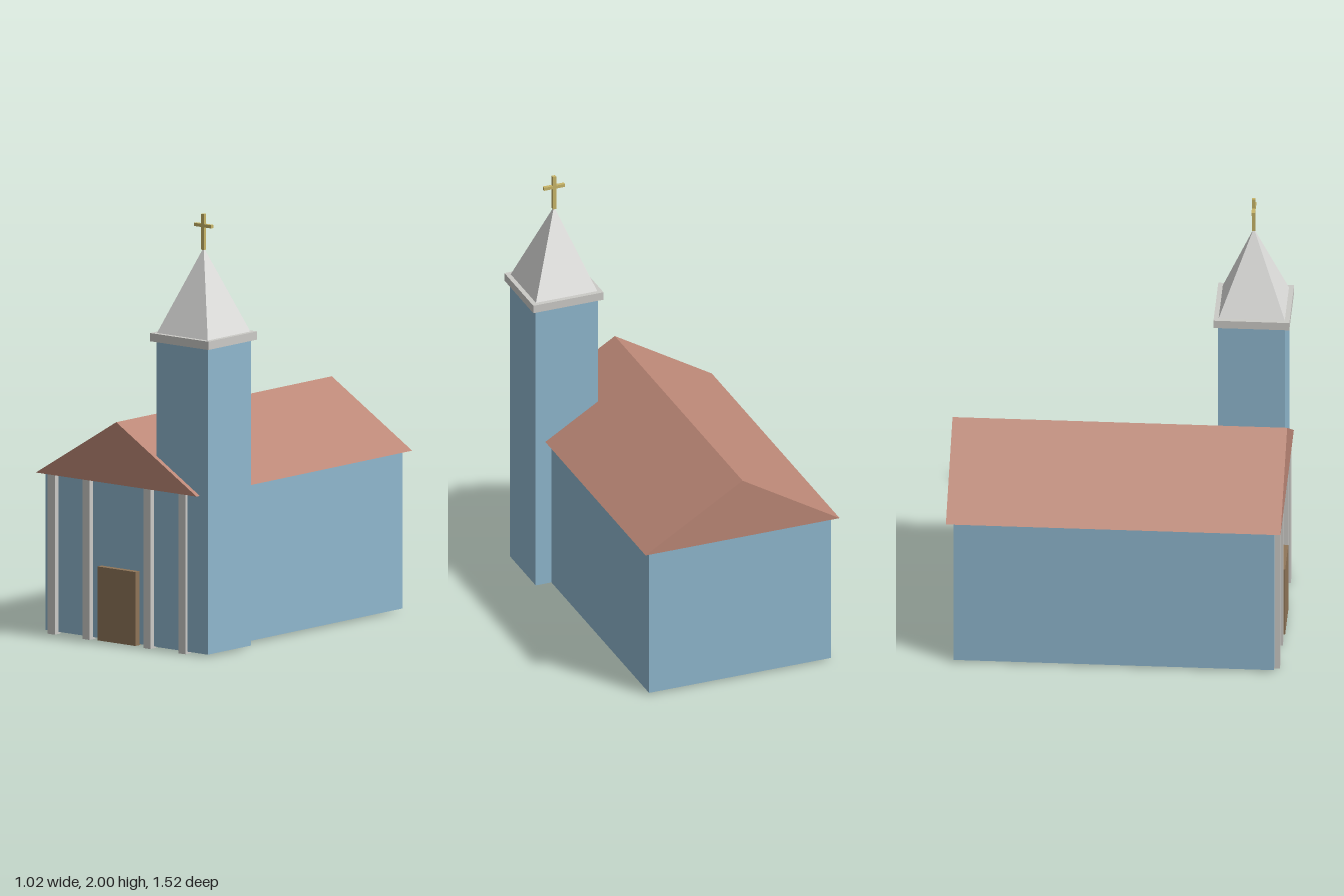
import * as THREE from 'three';

const paint = (name, color) => {
  const m = new THREE.MeshStandardMaterial({ color });
  m.name = name;
  return m;
};

export function createModel() {
  const group = new THREE.Group();
  const blue = paint('wallBlue', 0x8fb7ce);
  const red = paint('roofRed', 0xbb8776);
  const stone = paint('stoneGrey', 0xcbcac6);
  const pale = paint('spireWhite', 0xdededc);
  const wood = paint('doorBrown', 0x8f7558);
  const gold = paint('crossGold', 0xc8b568);

  const add = (name, geometry, material) => {
    const mesh = new THREE.Mesh(geometry, material);
    mesh.name = name;
    group.add(mesh);
    return mesh;
  };
  // Box given by its lower and upper limits on each axis
  const box = (name, [x0, x1], [y0, y1], [z0, z1], material) =>
    add(name, new THREE.BoxGeometry(x1 - x0, y1 - y0, z1 - z0), material)
      .position.set((x0 + x1) / 2, (y0 + y1) / 2, (z0 + z1) / 2);

  // Nave
  box('nave', [-0.48, 0.41], [0.01, 0.735], [-0.727, 0.727], blue);

  // Gabled roof: solid triangular prism
  const gable = new THREE.Shape([
    new THREE.Vector2(-0.51, 0.735),
    new THREE.Vector2(0.44, 0.735),
    new THREE.Vector2(-0.035, 1.022),
  ]);
  add('roof', new THREE.ExtrudeGeometry(gable, { depth: 1.518, bevelEnabled: false }), red)
    .position.z = -0.759;

  // Bell tower with cornice and pyramid spire
  const tx = 0.335, tz = 0.584;
  box('tower', [tx - 0.152, tx + 0.152], [0.01, 1.417], [tz - 0.152, tz + 0.152], blue);
  box('cornice', [tx - 0.172, tx + 0.172], [1.417, 1.455], [tz - 0.172, tz + 0.172], stone);
  const spire = new THREE.ConeGeometry(0.15 * Math.SQRT2, 0.39, 4, 1).toNonIndexed();
  spire.rotateY(Math.PI / 4);
  spire.computeVertexNormals();
  add('spire', spire, pale).position.set(tx, 1.65, tz);

  // Cross
  box('crossPost', [tx - 0.008, tx + 0.008], [1.835, 2], [tz - 0.008, tz + 0.008], gold);
  box('crossArm', [tx - 0.051, tx + 0.051], [1.939, 1.954], [tz - 0.008, tz + 0.008], gold);

  // Facade columns and door
  for (const x of [-0.425, -0.219, 0.14, 0.347])
    box('column', [x - 0.021, x + 0.021], [0, 0.737], [0.712, 0.752], stone);
  box('door', [-0.148, 0.076], [0.005, 0.345], [0.72, 0.757], wood);

  return group;
}
